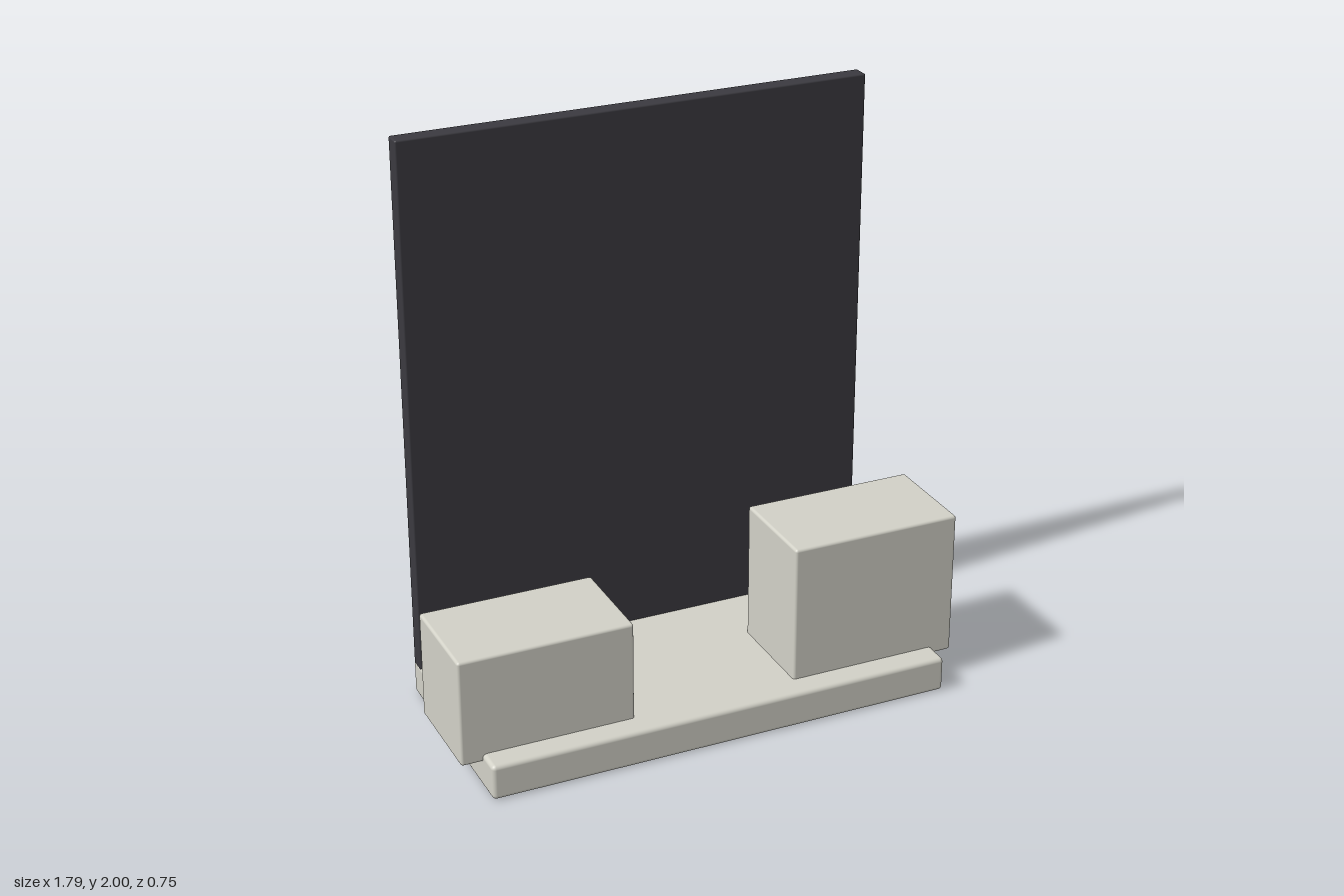
import * as THREE from 'three';
import { RoundedBoxGeometry } from 'three/addons/geometries/RoundedBoxGeometry.js';

export function createModel() {
  const group = new THREE.Group();
  const paleStone = new THREE.MeshStandardMaterial({ color: 0xd2d1c7 });
  paleStone.name = 'pale stone';
  const charcoal = new THREE.MeshStandardMaterial({ color: 0x3b3a40 });
  charcoal.name = 'charcoal';

  // Softly rounded block given by its lower and upper corners
  function block(name, min, max, radius, material) {
    const size = max.map((v, i) => v - min[i]);
    const mesh = new THREE.Mesh(new RoundedBoxGeometry(...size, 3, radius), material);
    mesh.name = name;
    mesh.position.set(...max.map((v, i) => (v + min[i]) / 2));
    group.add(mesh);
  }

  // Base slab and the upright panel standing along its back edge
  block('base', [-0.823, 0, -0.375], [0.823, 0.125, 0.375], 0.015, paleStone);
  block('backPanel', [-0.823, 0.115, -0.367], [0.823, 2, -0.307], 0.006, charcoal);

  // Two blocks overhanging the ends of the base, the left one taller
  for (const [name, side, top] of [['rightBlock', -1, 0.477], ['leftBlock', 1, 0.614]]) {
    const inner = side * 0.291, outer = side * 0.897;
    block(name, [Math.min(inner, outer), 0.097, -0.07], [Math.max(inner, outer), top, 0.288], 0.01, paleStone);
  }
  return group;
}
